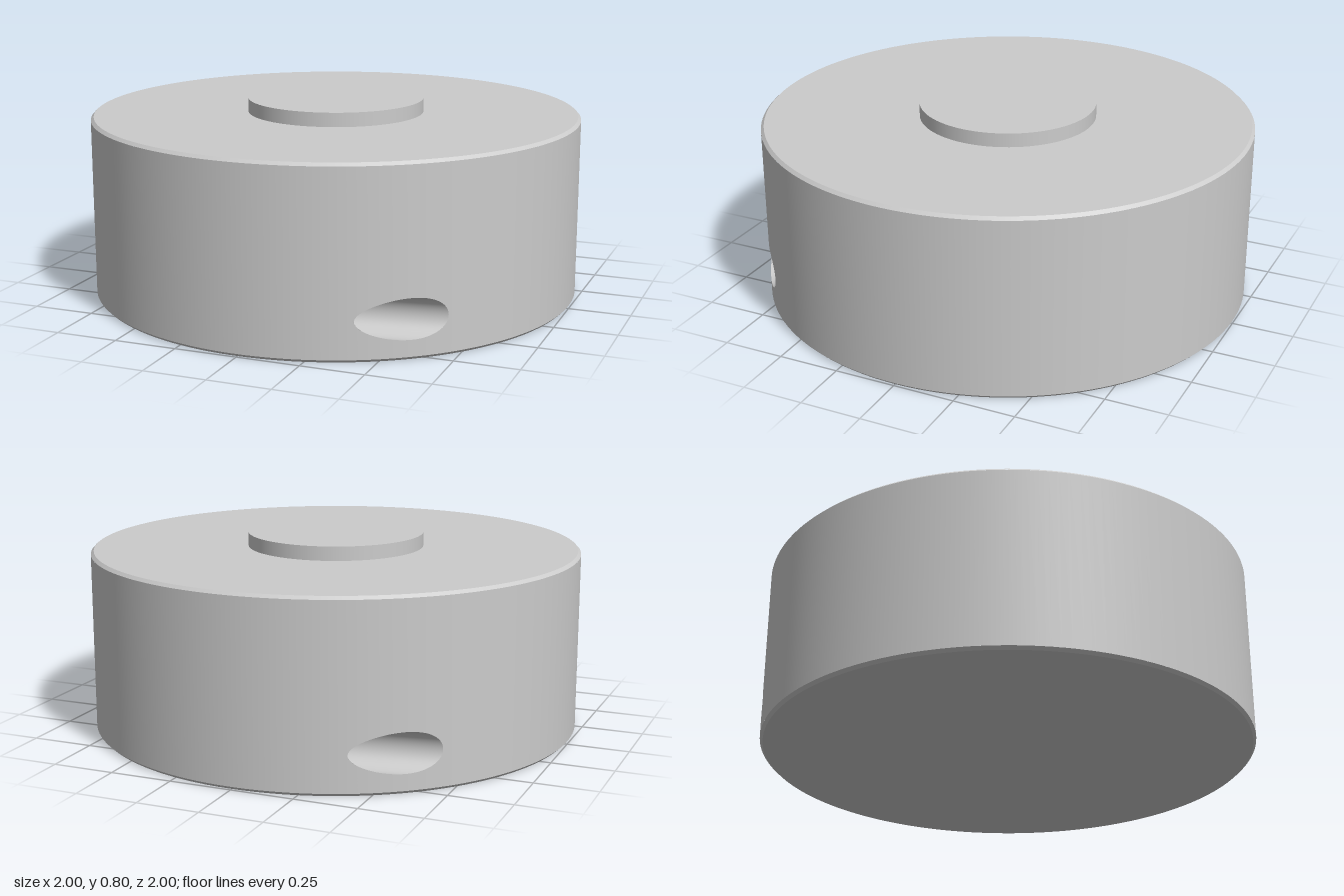
import * as THREE from 'three';
import { ParametricGeometry } from 'three/addons/geometries/ParametricGeometry.js';

const H = 0.74, C = 0.012;                 // body height, edge chamfer
const A0 = 0.35, A1 = 0.9;                 // angles of the wall patch around each bore
const TILT = 0.157;                        // bore direction, turned from the x axis
const BORE = { n: 0.882, y: 0.156, r: 0.079, floor: 0.015 };

export function createModel() {
  const model = new THREE.Group();
  const mat = new THREE.MeshStandardMaterial({ color: 0xcccccc });
  const add = (parent, name, geo) => {
    const mesh = new THREE.Mesh(geo, mat);
    mesh.name = name;
    parent.add(mesh);
    return mesh;
  };
  // One straight profile line turned about y, so every edge stays sharp
  const turn = (r0, y0, r1, y1, start = 0, length = Math.PI * 2) =>
    new THREE.LatheGeometry([new THREE.Vector2(r0, y0), new THREE.Vector2(r1, y1)],
      Math.ceil(length * 24), start, length);

  // Bore coordinates (s along the axis, n across it) to x and z
  const cos = Math.cos(TILT), sin = Math.sin(TILT);
  const place = (s, n, y, out) => out.set(s * cos + n * sin, y, n * cos - s * sin);
  const rim = (t) => {
    const n = BORE.n - BORE.r * Math.cos(t);
    return { n, s: Math.sqrt(1 - n * n), y: BORE.y + BORE.r * Math.sin(t) };
  };
  const p = new THREE.Vector3();

  // Curved wall between the bore rim and a rectangular patch border
  const patch = new ParametricGeometry((u, v, out) => {
    const t = v * Math.PI * 2, e = rim(t);
    place(e.s, e.n, e.y, p);
    const c = Math.cos(t), k = Math.sin(t), m = Math.max(Math.abs(c), Math.abs(k));
    const a = THREE.MathUtils.lerp(Math.atan2(p.x, p.z), (A0 + A1) / 2 + (c / m) * (A1 - A0) / 2, u);
    const y = THREE.MathUtils.lerp(e.y, H / 2 + (k / m) * (H / 2 - C), u);
    out.set(Math.sin(a), y, Math.cos(a));
  }, 10, 96);

  // Inside of the bore, from its rim to the flat floor
  const tube = new ParametricGeometry((u, v, out) => {
    const e = rim(u * Math.PI * 2);
    place(THREE.MathUtils.lerp(e.s, BORE.floor, v), e.n, e.y, out);
  }, 96, 4);

  // Two identical halves of the side, half a turn apart
  for (let i = 0; i < 2; i++) {
    const half = new THREE.Group();
    half.name = i ? 'backSide' : 'frontSide';
    half.rotation.y = i * Math.PI;
    add(half, 'wall', turn(1, C, 1, H - C, A1, Math.PI - (A1 - A0)));
    add(half, 'wallAroundBore', patch);
    add(half, 'boreWall', tube);
    const floor = add(half, 'boreFloor', new THREE.CircleGeometry(BORE.r, 64));
    place(BORE.floor, BORE.n, BORE.y, floor.position);
    floor.rotation.y = Math.PI / 2 + TILT;
    model.add(half);
  }

  // Ends and chamfers
  add(model, 'bottom', turn(0, 0, 1 - C, 0));
  add(model, 'bottomChamfer', turn(1 - C, 0, 1, C));
  add(model, 'topChamfer', turn(1, H - C, 1 - C, H));
  add(model, 'top', turn(1 - C, H, 0, H));

  // Raised disc in the middle of the top
  add(model, 'boss', new THREE.CylinderGeometry(0.36, 0.36, 0.057, 96)).position.y = H + 0.0285;
  return model;
}
